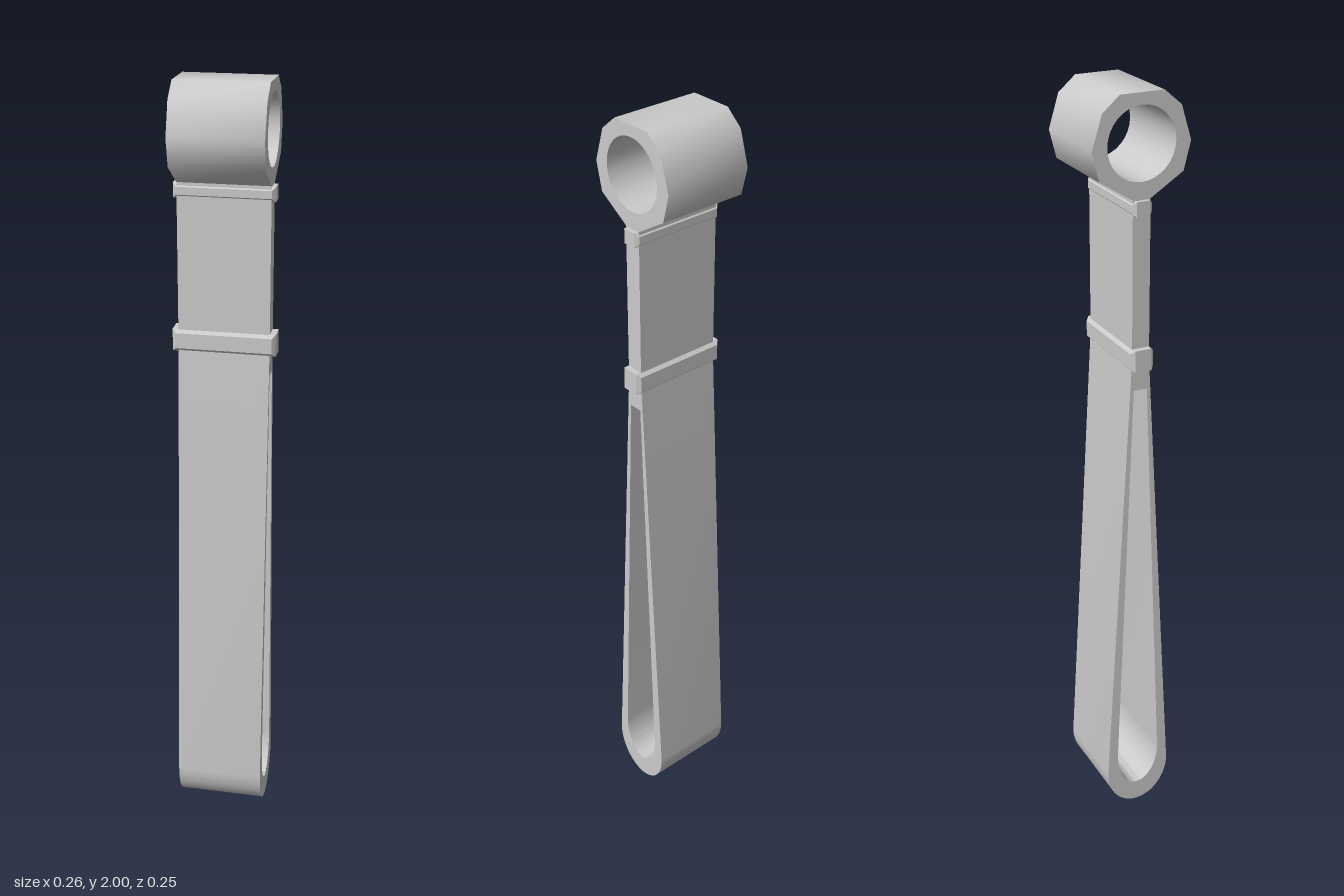
import * as THREE from 'three';
import { toCreasedNormals } from 'three/addons/utils/BufferGeometryUtils.js';

const HALF_WIDTH = 0.115;
const material = new THREE.MeshStandardMaterial({ color: 0xcccccc });

// Sweep a side profile drawn in (z, y) across the width of the strap
function sideExtrude(name, shape) {
  const geo = new THREE.ExtrudeGeometry(shape, { depth: HALF_WIDTH * 2, bevelEnabled: false, curveSegments: 16 });
  geo.translate(0, 0, -HALF_WIDTH);
  geo.rotateY(-Math.PI / 2);
  const mesh = new THREE.Mesh(toCreasedNormals(geo, 0.8), material);
  mesh.name = name;
  return mesh;
}

// Mirror half an outline across z = 0
function mirrored(half) {
  const other = half.map(([z, y]) => [-z, y]).reverse();
  return new THREE.Shape([...half, ...other].map(([z, y]) => new THREE.Vector2(z, y)));
}

// Tapering teardrop outline with a half-ellipse at the bottom
function teardrop(path, topZ, topY, bottomZ, shoulderY, bottomY) {
  path.moveTo(topZ, topY);
  path.lineTo(-topZ, topY);
  path.lineTo(-bottomZ, shoulderY);
  path.absellipse(0, shoulderY, bottomZ, shoulderY - bottomY, Math.PI, Math.PI * 2, false);
  path.lineTo(topZ, topY);
  return path;
}

// Chamfered band wrapped around the strap
function collar(name, halfX, halfZ, y0, y1) {
  const b = 0.009;
  const x = halfX - b;
  const shape = new THREE.Shape([[-x, y0 + b], [x, y0 + b], [x, y1 - b], [-x, y1 - b]]
    .map(([px, py]) => new THREE.Vector2(px, py)));
  const depth = 2 * (halfZ - b);
  const geo = new THREE.ExtrudeGeometry(shape, { depth, bevelThickness: b, bevelSize: b, bevelSegments: 1 });
  geo.translate(0, 0, -depth / 2);
  const mesh = new THREE.Mesh(geo, material);
  mesh.name = name;
  return mesh;
}

export function createModel() {
  const group = new THREE.Group();
  group.name = 'strap';

  // Faceted ring with a round bore
  const ring = mirrored([[0.02, 1.755], [0.108, 1.81], [0.126, 1.88], [0.1, 1.963], [0.056, 2]]);
  ring.holes.push(new THREE.Path().absarc(0, 1.885, 0.0875, 0, Math.PI * 2, true));
  group.add(sideExtrude('topRing', ring));

  // Flat strap between the ring and the loop
  group.add(sideExtrude('flatStrap', mirrored([[0.023, 1.36], [0.023, 1.765]])));

  // Long hand loop
  const loop = teardrop(new THREE.Shape(), 0.023, 1.36, 0.092, 0.115, 0);
  loop.holes.push(teardrop(new THREE.Path(), 0.018, 1.28, 0.062, 0.165, 0.06));
  group.add(sideExtrude('handLoop', loop));

  // Bands
  group.add(collar('upperCollar', 0.125, 0.026, 1.718, 1.755));
  group.add(collar('lowerCollar', 0.13, 0.031, 1.333, 1.39));
  return group;
}
